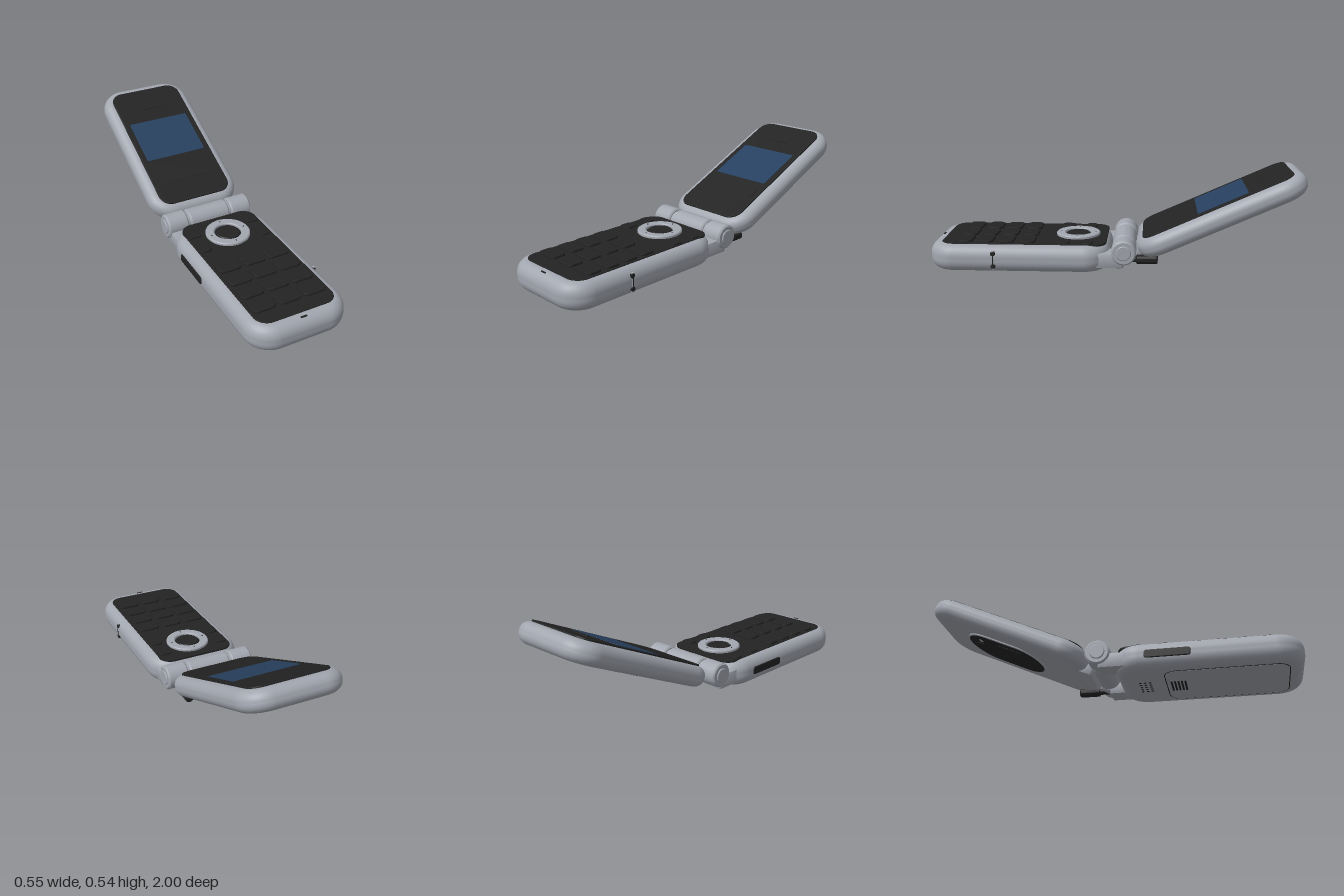
import * as THREE from 'three';
import { toCreasedNormals } from 'three/addons/utils/BufferGeometryUtils.js';

const material = (name, color) => {
  const m = new THREE.MeshStandardMaterial({ color });
  m.name = name;
  return m;
};

export function createModel() {
  const silver = material('silver', 0xa2a6af);
  const black = material('black', 0x232323);
  const blue = material('screen blue', 0x27405f);

  const add = (parent, name, geometry, mat, x = 0, y = 0, z = 0) => {
    const mesh = new THREE.Mesh(geometry, mat);
    mesh.name = name;
    mesh.position.set(x, y, z);
    parent.add(mesh);
    return mesh;
  };

  // Horizontal slab with rounded plan corners and rounded rims, centred on its origin
  const slab = (w, h, l, r, side = 0.003, rim = Math.min(side, h / 3), steps = 2) => {
    const a = w / 2 - side, b = l / 2 - side, c = Math.max(r - side, 0.002);
    const s = new THREE.Shape();
    s.absarc(a - c, b - c, c, 0, Math.PI / 2);
    s.absarc(c - a, b - c, c, Math.PI / 2, Math.PI);
    s.absarc(c - a, c - b, c, Math.PI, Math.PI * 1.5);
    s.absarc(a - c, c - b, c, Math.PI * 1.5, Math.PI * 2);
    s.closePath();
    let g = new THREE.ExtrudeGeometry(s, {
      depth: h - 2 * rim, bevelSize: side, bevelThickness: rim, bevelSegments: steps, curveSegments: 10,
    });
    g.center().rotateX(-Math.PI / 2);
    g = toCreasedNormals(g, 0.6);
    // Keep the flat caps evenly shaded
    const p = g.attributes.position, n = g.attributes.normal;
    for (let i = 0; i < p.count; i += 3) {
      const ys = [p.getY(i), p.getY(i + 1), p.getY(i + 2)];
      if (ys.every((y) => Math.abs(y - ys[0]) < 1e-6)) {
        for (let k = 0; k < 3; k++) n.setXYZ(i + k, 0, Math.sign(ys[0]), 0);
      }
    }
    return g;
  };

  // Solid or ring turned about y, then optionally laid along x or z
  const turned = (points, axis = 'y') => {
    const g = toCreasedNormals(new THREE.LatheGeometry(points.map(([r, y]) => new THREE.Vector2(r, y)), 40), 0.6);
    if (axis === 'x') g.rotateZ(-Math.PI / 2);
    if (axis === 'z') g.rotateX(-Math.PI / 2);
    return g;
  };
  const barrel = (r, len, edge = 0.008) => {
    const h = len / 2;
    return [[0, -h], [r - edge, -h], [r, edge - h], [r, h - edge], [r - edge, h], [0, h]];
  };

  const phone = new THREE.Group();
  phone.name = 'flipPhone';

  // Lower half
  const base = new THREE.Group();
  base.name = 'base';
  phone.add(base);
  add(base, 'baseShell', slab(0.54, 0.145, 0.97, 0.14, 0.055, 0.063, 8), silver, 0, 0.0775, 0.515);
  add(base, 'keypadPlate', slab(0.436, 0.012, 0.885, 0.07), black, 0, 0.148, 0.4925);
  add(base, 'microphone', slab(0.035, 0.004, 0.01, 0.004, 0.001), black, 0, 0.148, 0.962);

  // Number keys and the four soft keys beside the ring
  const numberKey = slab(0.126, 0.018, 0.088, 0.025, 0.006);
  for (let row = 0; row < 4; row++) {
    for (let col = -1; col <= 1; col++) {
      add(base, 'numberKey', numberKey, black, col * 0.14, 0.156, 0.475 + row * 0.112);
    }
  }
  for (const side of [-1, 1]) {
    add(base, 'softKey', slab(0.074, 0.014, 0.06, 0.02, 0.005), black, side * 0.173, 0.155, 0.15);
    add(base, 'callKey', slab(0.068, 0.014, 0.075, 0.02, 0.005), black, side * 0.176, 0.155, 0.282);
  }

  // Navigation ring and centre key
  add(base, 'navigationRing', turned([
    [0.072, 0], [0.12, 0], [0.12, 0.014], [0.115, 0.019], [0.077, 0.019], [0.072, 0.014], [0.072, 0],
  ]), silver, 0, 0.15, 0.213);
  add(base, 'centreKey', turned(barrel(0.064, 0.016, 0.004)), black, 0, 0.157, 0.213);
  for (let i = 0; i < 4; i++) {
    const a = i * Math.PI / 2;
    add(base, 'ringMark', turned(barrel(0.004, 0.002, 0.0005)), black, 0.096 * Math.cos(a), 0.1695, 0.213 + 0.096 * Math.sin(a));
  }

  // Side controls
  const rocker = add(base, 'volumeRocker', slab(0.044, 0.02, 0.236, 0.012, 0.004), black, -0.265, 0.078, 0.318);
  rocker.rotation.z = Math.PI / 2;
  add(base, 'socketCover', new THREE.BoxGeometry(0.012, 0.1, 0.012), silver, 0.266, 0.077, 0.642);
  for (const y of [0.043, 0.112]) {
    add(base, 'socketPin', turned(barrel(0.013, 0.02, 0.003), 'x'), black, 0.264, y, 0.642);
  }
  add(base, 'socketLink', new THREE.BoxGeometry(0.004, 0.06, 0.006), black, 0.2715, 0.077, 0.642);

  // Underside: battery door, speaker slots and holes
  add(base, 'batteryDoorSeam', slab(0.4, 0.004, 0.64, 0.07, 0.001), black, 0, 0.0055, 0.605);
  add(base, 'batteryDoor', slab(0.39, 0.005, 0.63, 0.065, 0.001), silver, 0, 0.005, 0.605);
  for (let i = 0; i < 5; i++) {
    add(base, 'speakerSlot', slab(0.13, 0.004, 0.01, 0.005, 0.001), black, 0, 0.002, 0.315 + i * 0.018);
  }
  for (let i = 0; i < 15; i++) {
    add(base, 'speakerHole', turned(barrel(0.007, 0.002, 0.0005)), black,
      ((i % 5) - 2) * 0.03, 0.0045, 0.15 + Math.floor(i / 5) * 0.026);
  }

  // Hinge barrels, end caps and the arms that carry them
  const hinge = new THREE.Group();
  hinge.name = 'hinge';
  hinge.position.set(0, 0.118, -0.045);
  phone.add(hinge);
  add(hinge, 'middleBarrel', turned(barrel(0.064, 0.24), 'x'), silver);
  add(hinge, 'hingePin', turned(barrel(0.052, 0.3), 'x'), silver);
  for (const side of [-1, 1]) {
    add(hinge, 'outerBarrel', turned(barrel(0.066, 0.12), 'x'), silver, side * 0.193);
    add(hinge, 'hingeCap', turned(barrel(0.04, 0.02, 0.004), 'x'), silver, side * 0.249);
    add(phone, 'hingeArm', slab(0.115, 0.078, 0.16, 0.012, 0.006), silver, side * 0.185, 0.072, 0.035);
  }

  // Stub aerial behind the left barrel
  add(phone, 'aerialNeck', turned(barrel(0.016, 0.08, 0.003), 'z'), black, 0.185, 0.069, -0.09);
  add(phone, 'aerialTip', turned(barrel(0.025, 0.115, 0.006), 'z'), black, 0.185, 0.069, -0.168);

  // Lid, built flat and tilted open; -z runs away from the hinge
  const lid = new THREE.Group();
  lid.name = 'lid';
  lid.position.set(0, 0.307, -0.557);
  lid.rotation.x = THREE.MathUtils.degToRad(24.2);
  phone.add(lid);
  add(lid, 'lidShell', slab(0.542, 0.11, 0.957, 0.14, 0.052, 0.05, 8), silver);
  add(lid, 'lidKnuckle', slab(0.235, 0.06, 0.1, 0.01, 0.004), silver, 0, -0.022, 0.47);
  add(lid, 'screenPlate', slab(0.434, 0.012, 0.855, 0.07), black, 0, 0.056, 0);
  add(lid, 'screen', slab(0.366, 0.002, 0.287, 0.008, 0.0005), blue, 0, 0.0625, -0.034);
  add(lid, 'lowerScreenFrame', slab(0.366, 0.002, 0.174, 0.008, 0.0005), black, 0, 0.0622, 0.2);
  add(lid, 'earpiece', slab(0.132, 0.005, 0.016, 0.007, 0.001), black, 0, 0.0625, -0.276);

  // Outer window with camera and lamp
  add(lid, 'windowRim', slab(0.315, 0.014, 0.49, 0.155, 0.004), silver, 0, -0.055, -0.033);
  add(lid, 'outerWindow', slab(0.296, 0.006, 0.471, 0.146, 0.002), black, 0, -0.0615, -0.033);
  add(lid, 'outerDisplay', slab(0.2, 0.002, 0.15, 0.01, 0.0005), black, 0, -0.065, 0.02);
  add(lid, 'cameraLens', turned(barrel(0.045, 0.006, 0.002)), black, 0, -0.0655, -0.185);
  add(lid, 'cameraLamp', turned(barrel(0.013, 0.006, 0.002)), silver, -0.085, -0.0645, -0.17);

  return phone;
}
